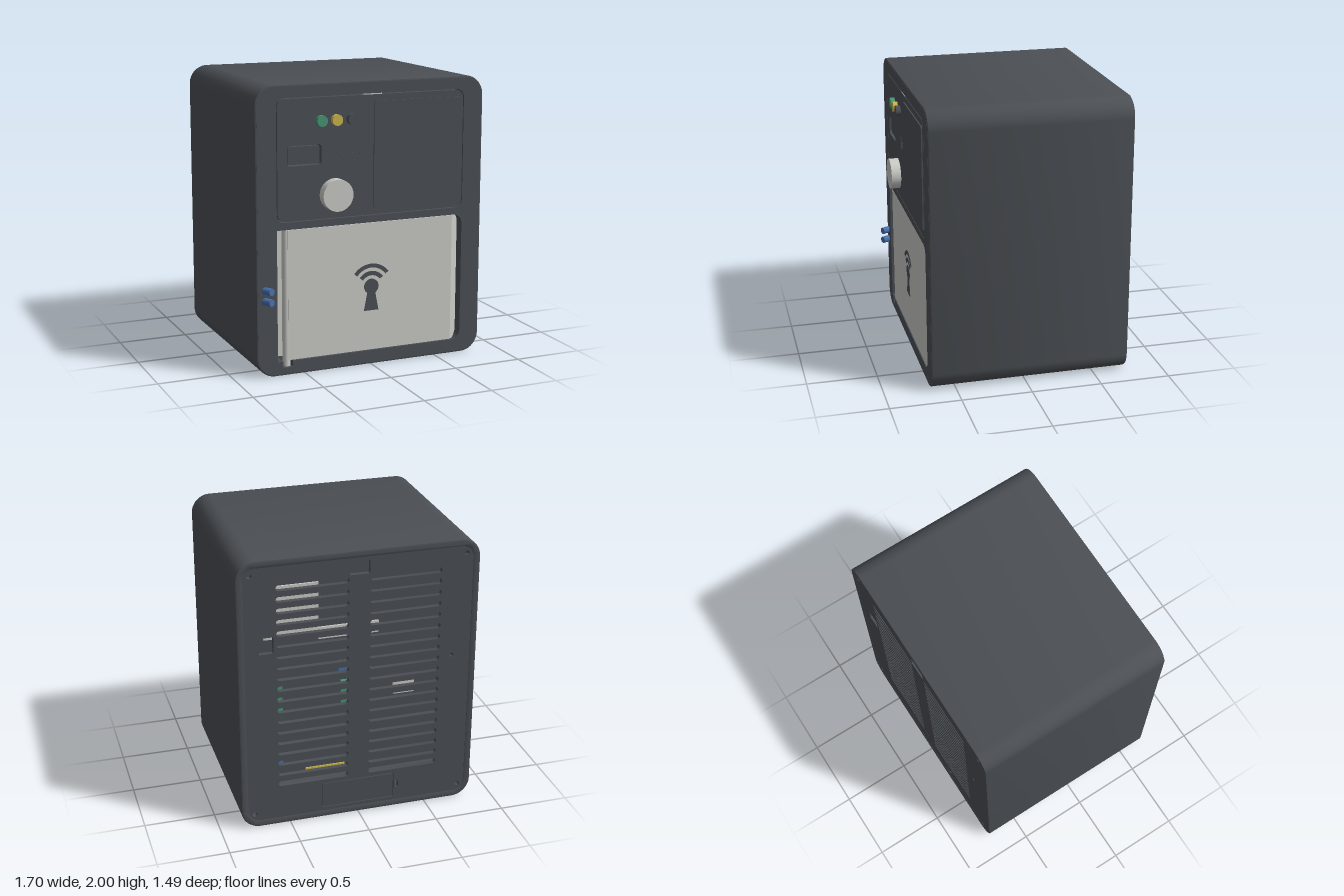
import * as THREE from 'three';
import { toCreasedNormals } from 'three/addons/utils/BufferGeometryUtils.js';

const FRONT = 0.676, BACK = -0.74;

export function createModel() {
  const group = new THREE.Group();
  const material = (name, color) => {
    const m = new THREE.MeshStandardMaterial({ color });
    m.name = name;
    return m;
  };
  const slate = material('slate', 0x4b4f54);
  const light = material('lightGrey', 0xcacac7);
  const green = material('green', 0x479673);
  const yellow = material('yellow', 0xcab54a);
  const blue = material('blue', 0x486fad);

  const add = (name, geometry, mat, x = 0, y = 0, z = 0) => {
    const mesh = new THREE.Mesh(geometry, mat);
    mesh.name = name;
    mesh.position.set(x, y, z);
    group.add(mesh);
    return mesh;
  };
  // Rounded rectangle; separate radii for the left and right corners
  const rounded = (x0, x1, y0, y1, rl, rr = rl) => {
    const s = new THREE.Shape();
    s.moveTo(x0 + rl, y0);
    s.lineTo(x1 - rr, y0);
    if (rr) s.absarc(x1 - rr, y0 + rr, rr, -Math.PI / 2, 0);
    s.lineTo(x1, y1 - rr);
    if (rr) s.absarc(x1 - rr, y1 - rr, rr, 0, Math.PI / 2);
    s.lineTo(x0 + rl, y1);
    if (rl) s.absarc(x0 + rl, y1 - rl, rl, Math.PI / 2, Math.PI);
    s.lineTo(x0, y0 + rl);
    if (rl) s.absarc(x0 + rl, y0 + rl, rl, Math.PI, Math.PI * 1.5);
    return s;
  };
  const circle = (x, y, r) => new THREE.Shape().absarc(x, y, r, 0, Math.PI * 2);
  const extrude = (shape, depth, options = {}) => toCreasedNormals(
    new THREE.ExtrudeGeometry(shape, { depth, bevelEnabled: false, curveSegments: 10, ...options }), 0.6);
  const slab = (name, shape, z0, z1, mat) => add(name, extrude(shape, z1 - z0), mat, 0, 0, z0);
  const box = (name, x0, x1, y0, y1, z0, z1, mat) => add(name,
    new THREE.BoxGeometry(x1 - x0, y1 - y0, z1 - z0), mat, (x0 + x1) / 2, (y0 + y1) / 2, (z0 + z1) / 2);
  const frontCylinder = (name, x, y, r, z0, z1, mat) => {
    const mesh = add(name, new THREE.CylinderGeometry(r, r, z1 - z0, 32), mat, x, y, (z0 + z1) / 2);
    mesh.rotation.x = Math.PI / 2;
    return mesh;
  };
  // Curved band of a wireless symbol
  const arcBand = (x, y, outer, inner) => {
    const a = Math.PI / 2 - 0.92, b = Math.PI / 2 + 0.92;
    const s = new THREE.Shape();
    s.absarc(x, y, outer, a, b, false);
    s.absarc(x, y, inner, b, a, true);
    return s;
  };

  // Hollow casing with softly bevelled rims
  const casing = rounded(-0.85, 0.85, 0, 2, 0.135);
  casing.holes.push(rounded(-0.8, 0.8, 0.05, 1.95, 0.085));
  add('casing', extrude(casing, 1.395, {
    bevelEnabled: true, bevelSize: 0.01, bevelThickness: 0.01, bevelOffset: -0.01, bevelSegments: 2,
  }), slate, 0, 0, BACK + 0.01);

  // Front face with openings for the control panel, door and hinge pin
  const face = rounded(-0.838, 0.838, 0.012, 1.988, 0.123);
  face.holes.push(rounded(-0.7, 0.7, 1.07, 1.91, 0.06));
  const opening = new THREE.Shape();
  opening.moveTo(-0.7, 0.1);
  opening.lineTo(-0.66, 0.1);
  opening.lineTo(-0.66, 0.055);
  opening.lineTo(-0.59, 0.055);
  opening.lineTo(-0.59, 0.1);
  opening.lineTo(0.63, 0.1);
  opening.absarc(0.63, 0.17, 0.07, -Math.PI / 2, 0);
  opening.absarc(0.63, 0.95, 0.07, 0, Math.PI / 2);
  opening.lineTo(-0.7, 1.02);
  face.holes.push(opening);
  slab('frontFace', face, 0.545, FRONT, slate);
  box('frontBacking', -0.8, 0.8, 0.05, 1.95, 0.5, 0.545, slate);

  // Control panel, set in a narrow groove
  const panel = rounded(-0.694, 0.694, 1.076, 1.904, 0.054);
  panel.holes.push(rounded(-0.62, -0.375, 1.45, 1.587, 0.02));
  slab('controlPanel', panel, 0.546, FRONT, slate);
  slab('screen', rounded(-0.612, -0.383, 1.458, 1.579, 0.014), 0.546, 0.662, slate);
  slab('coverPlate', rounded(0.01, 0.67, 1.12, 1.86, 0.02), FRONT, 0.685, slate);
  box('panelLatch', -0.07, 0.07, 1.905, 1.912, 0.6, FRONT + 0.002, light);
  slab('panelSymbol', [[0.12, 0.098], [0.085, 0.063], [0.05, 0.03]]
    .map(([o, i]) => arcBand(-0.155, 1.43, o, i)), FRONT, FRONT + 0.003, slate);

  // Buttons and knob
  [['greenButton', -0.38, green], ['yellowButton', -0.27, yellow], ['darkButton', -0.155, slate]]
    .forEach(([name, x, mat]) => frontCylinder(name, x, 1.747, 0.038, 0.66, 0.71, mat));
  frontCylinder('knob', -0.28, 1.24, 0.11, 0.66, 0.745, light);

  // Door profile seen from above, with a sloping grip edge
  const door = new THREE.Shape([[-0.62, 0.55], [-0.62, 0.67], [0.625, 0.67], [0.705, 0.6], [0.705, 0.55]]
    .map(([x, z]) => new THREE.Vector2(x, -z)));
  add('door', extrude(door, 0.912).rotateX(-Math.PI / 2), light, 0, 0.104, 0);
  box('hingeRecess', -0.7, -0.6, 0.1, 1.02, 0.544, 0.55, light);
  add('hingePin', new THREE.CylinderGeometry(0.026, 0.026, 0.955, 20), light, -0.625, 0.5375, 0.642);

  // Keyhole and signal emblem on the door
  const keyStem = new THREE.Shape([[-0.055, 0.39], [0.055, 0.39], [0.028, 0.53], [-0.028, 0.53]]
    .map(([x, y]) => new THREE.Vector2(x, y)));
  slab('doorEmblem', [keyStem, arcBand(0, 0.562, 0.163, 0.135), arcBand(0, 0.562, 0.11, 0.08)],
    0.669, 0.673, slate);
  slab('keyholeTop', circle(0, 0.562, 0.055), 0.669, 0.6735, slate);

  // Tilted lamps beside the door
  for (const y of [0.54, 0.615]) {
    const lamp = frontCylinder('sideLamp', -0.778, y, 0.025, 0.65, 0.735, blue);
    lamp.rotation.order = 'YXZ';
    lamp.rotation.y = 0.45;
  }

  // Back plate with vent slots, ports, screw holes and a hatch
  const back = rounded(-0.807, 0.807, 0.043, 1.957, 0.092);
  for (let i = 0; i < 19; i++) {
    const y = 0.32 + i * 0.082;
    for (const x of [-0.58, 0.075]) {
      back.holes.push(rounded(x, x + 0.505, y - 0.02, y + 0.02, 0.0195));
    }
  }
  back.holes.push(
    rounded(-0.07, 0.07, 1.83, 1.925, 0.01),
    rounded(0.6, 0.7, 1.33, 1.45, 0.01),
    rounded(-0.265, 0.265, 0.075, 0.27, 0.005),
    rounded(-0.3, -0.278, 0.15, 0.21, 0.01),
    circle(-0.67, 1.15, 0.015));
  for (const x of [-0.755, 0.755]) {
    for (const y of [0.1, 1.9]) back.holes.push(circle(x, y, 0.017));
  }
  slab('backPlate', back, -0.736, -0.7, slate);
  slab('backHatch', rounded(-0.26, 0.26, 0.08, 0.265, 0.004), -0.736, -0.705, slate);

  // Inner wall and the parts mounted on it, glimpsed through the vents
  box('innerWall', -0.8, 0.8, 0.05, 1.95, -0.22, -0.18, slate);
  const mounted = [
    ['controlModule', 0.15, 0.55, 1.2, 1.6, light],
    ['mountingRail', -0.3, 0.15, 1.16, 1.25, light],
    ['smallModule', -0.58, -0.42, 0.64, 0.76, light],
    ['circuitBoard', 0.42, 0.62, 0.56, 0.84, green],
    ['relayBoard', -0.22, -0.02, 0.62, 0.8, green],
    ['blueModule', -0.24, 0.0, 0.84, 0.96, blue],
    ['blueConnector', 0.42, 0.65, 0.14, 0.26, blue],
    ['yellowConnector', -0.05, 0.25, 0.055, 0.12, yellow],
  ];
  for (const [name, x0, x1, y0, y1, mat] of mounted) box(name, x0, x1, y0, y1, -0.25, -0.22, mat);

  return group;
}
